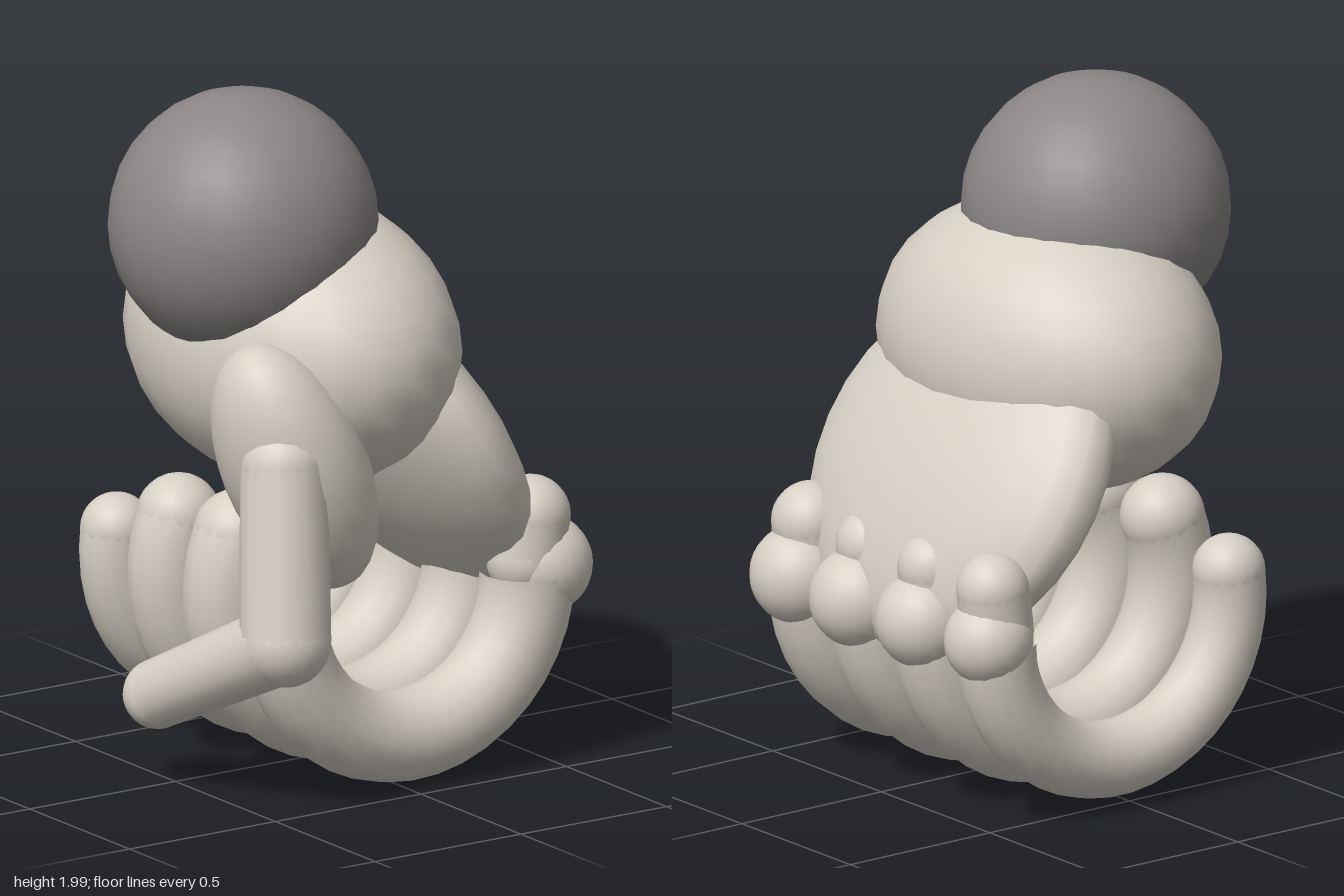
import * as THREE from 'three';

const skin = new THREE.MeshStandardMaterial({ color: 0xd6cfc4 });
skin.name = 'warm grey';
const dark = new THREE.MeshStandardMaterial({ color: 0x8b8685 });
dark.name = 'dark grey';

export function createModel() {
  const root = new THREE.Group();
  root.name = 'grippingHand';

  const add = (name, geometry, material = skin, parent = root) => {
    const mesh = new THREE.Mesh(geometry, material);
    mesh.name = name;
    parent.add(mesh);
    return mesh;
  };

  // Ellipsoid with its own y axis leaned by `lean` around z
  const ellipsoid = (name, pos, radii, lean = 0, material = skin, parent = root) => {
    const mesh = add(name, new THREE.SphereGeometry(1, 24, 16), material, parent);
    mesh.position.set(...pos);
    mesh.scale.set(...radii);
    mesh.rotation.z = lean;
    return mesh;
  };
  const ball = (name, pos, r, material, parent) => ellipsoid(name, pos, [r, r, r], 0, material, parent);

  // Rounded limb between two points, with a radius at each end
  const limb = (name, a, b, ra, rb, parent = root) => {
    const group = new THREE.Group();
    group.name = name;
    parent.add(group);
    const start = new THREE.Vector3(...a), end = new THREE.Vector3(...b);
    const dir = end.clone().sub(start);
    const shaft = add(name + 'Shaft', new THREE.CylinderGeometry(rb, ra, dir.length(), 18, 1, true), skin, group);
    shaft.position.copy(start).add(end).multiplyScalar(0.5);
    shaft.quaternion.setFromUnitVectors(new THREE.Vector3(0, 1, 0), dir.normalize());
    ball(name + 'Start', a, ra, skin, group);
    ball(name + 'End', b, rb, skin, group);
  };

  // Wrist ball and the masses of the palm
  ball('wrist', [-0.25, 1.615, -0.025], 0.385, dark);
  ellipsoid('palmHeel', [-0.07, 1.25, -0.04], [0.42, 0.42, 0.59]);
  ellipsoid('palm', [0.25, 0.94, -0.05], [0.21, 0.55, 0.575], Math.PI / 6);
  ellipsoid('thumbBase', [-0.31, 0.985, 0.32], [0.2, 0.4, 0.23], 0.41);

  // Thumb: two segments folded across the fingertips
  limb('thumbLower', [-0.415, 1.03, 0.42], [-0.465, 0.535, 0.5], 0.125, 0.13);
  limb('thumbTip', [-0.48, 0.53, 0.5], [-0.56, 0.28, 0.0], 0.115, 0.1);

  // Curled fingers: a tapered arc from knuckle to rounded tip
  const R = 0.42, cx = 0.045, cy = 0.565;
  const fingers = [
    { name: 'indexFinger', z: 0.355, r: 0.138, curl: 20, knuckle: 0.145, kx: 0.515, bump: 0.115 },
    { name: 'middleFinger', z: 0.075, r: 0.14, curl: 24, knuckle: 0.145, kx: 0.52, bump: 0.105 },
    { name: 'ringFinger', z: -0.21, r: 0.135, curl: 22, knuckle: 0.14, kx: 0.51, bump: 0.105 },
    { name: 'littleFinger', z: -0.482, r: 0.116, curl: 8, knuckle: 0.128, kx: 0.49, bump: 0.105 },
  ];
  for (const f of fingers) {
    const group = new THREE.Group();
    group.name = f.name;
    root.add(group);
    const sweep = THREE.MathUtils.degToRad(180 + f.curl);
    const at = (t) => new THREE.Vector3(cx + R * Math.cos(t * sweep), cy - R * Math.sin(t * sweep), f.z);
    const curve = new THREE.Curve();
    curve.getPoint = (t, target = new THREE.Vector3()) => target.copy(at(t));

    // Shrink each ring of the tube towards the path for the taper
    const steps = 22, sides = 16, taper = 0.1;
    const tube = new THREE.TubeGeometry(curve, steps, f.r, sides, false);
    const p = tube.attributes.position, v = new THREE.Vector3();
    for (let i = 0; i < p.count; i++) {
      const t = Math.floor(i / (sides + 1)) / steps;
      v.fromBufferAttribute(p, i).lerp(at(t), taper * t);
      p.setXYZ(i, v.x, v.y, v.z);
    }
    add(f.name + 'Curl', tube, skin, group);
    ball(f.name + 'Tip', at(1).toArray(), f.r * (1 - taper), skin, group);
    ball(f.name + 'Knuckle', [f.kx, 0.575, f.z], f.knuckle, skin, group);
    limb(f.name + 'Base', [0.475, 0.725, f.z], [0.46, 0.6, f.z], f.bump, f.bump, group);
  }
  return root;
}
